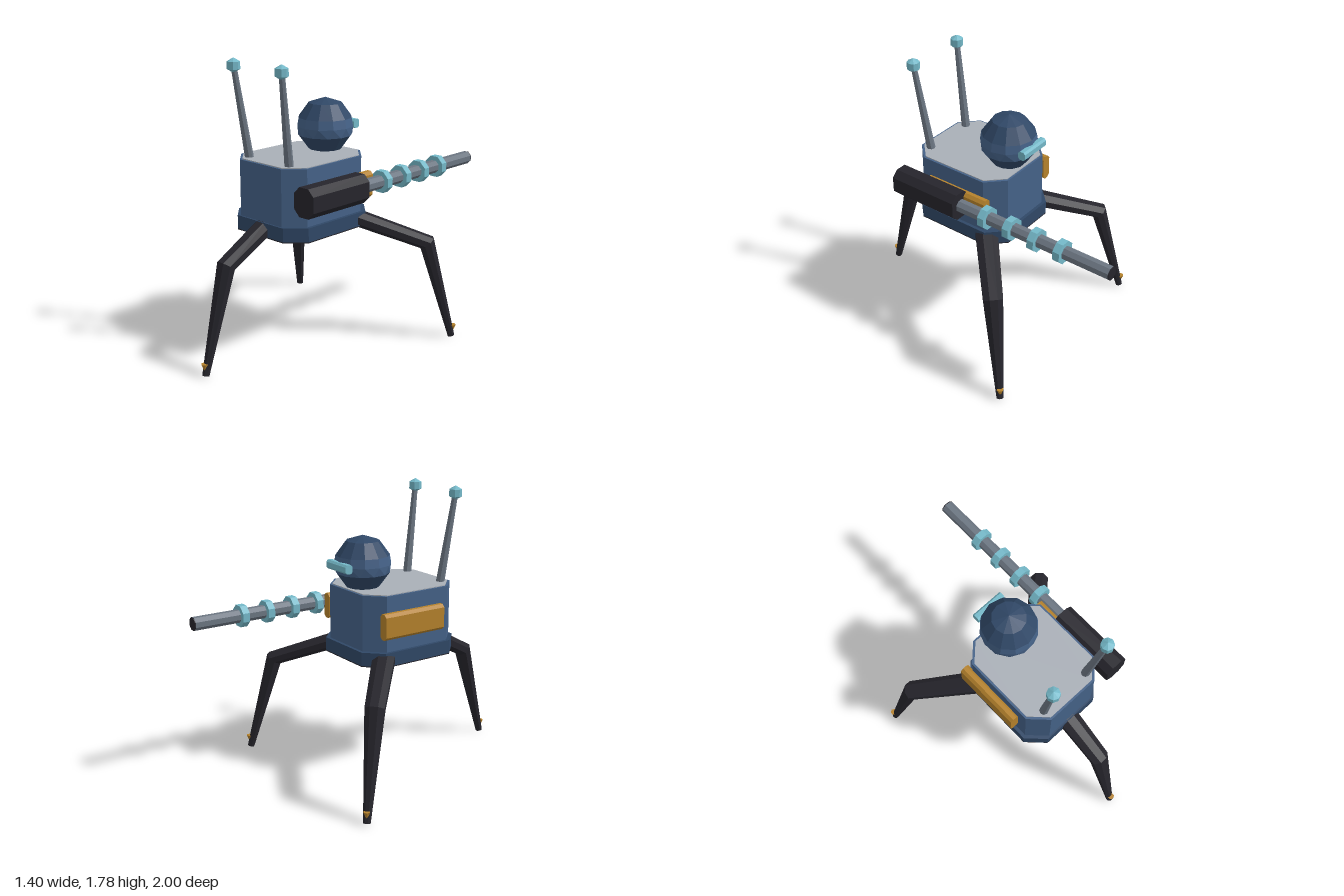
import * as THREE from 'three';

const mat = (name, color) => {
  const m = new THREE.MeshStandardMaterial({ color });
  m.name = name;
  return m;
};

// Faceted normals without touching the material
const flat = (geometry) => {
  const g = geometry.index ? geometry.toNonIndexed() : geometry;
  g.computeVertexNormals();
  return g;
};

// Box with four cut corners, running along z
function prism(w, h, depth, cut) {
  const x = w / 2, y = h / 2;
  const pts = [[x, y - cut], [x - cut, y], [cut - x, y], [-x, y - cut],
    [-x, cut - y], [cut - x, -y], [x - cut, -y], [x, cut - y]];
  const shape = new THREE.Shape(pts.map((p) => new THREE.Vector2(...p)));
  return new THREE.ExtrudeGeometry(shape, { depth, bevelEnabled: false }).translate(0, 0, -depth / 2);
}

// The same block standing upright between two heights
const slab = (w, d, y0, y1, cut) =>
  prism(w, d, y1 - y0, cut).rotateX(-Math.PI / 2).translate(0, (y0 + y1) / 2, 0);

// Eight-sided leg lofted through hip, knee and foot
function legGeometry(hip, knee, foot) {
  const out = new THREE.Vector3(foot.x - hip.x, 0, foot.z - hip.z).normalize();
  const side = new THREE.Vector3(0, 1, 0).cross(out);
  const stations = [ // centre, half width, outward and upward half thickness
    [hip, 0.068, 0.024, 0.042],
    [knee, 0.058, 0.04, 0.03],
    [foot, 0.021, 0.02, 0.005],
  ];
  const k = 1 / Math.cos(Math.PI / 8);
  const pos = [], index = [];
  for (const [c, w, o, u] of stations) {
    for (let i = 0; i < 8; i++) {
      const a = (i + 0.5) * Math.PI / 4;
      const p = c.clone().addScaledVector(side, w * k * Math.cos(a));
      p.addScaledVector(out, o * k * Math.sin(a));
      p.y += u * k * Math.sin(a);
      pos.push(p.x, p.y, p.z);
    }
  }
  for (let s = 0; s < 2; s++) {
    for (let i = 0; i < 8; i++) {
      const a = s * 8 + i, b = s * 8 + (i + 1) % 8;
      index.push(a, b, a + 8, b, b + 8, a + 8);
    }
  }
  for (let i = 1; i < 7; i++) {
    index.push(16, 16 + i, 17 + i); // foot end
    index.push(0, i + 1, i);        // hip end
  }
  const g = new THREE.BufferGeometry();
  g.setAttribute('position', new THREE.Float32BufferAttribute(pos, 3));
  g.setIndex(index);
  return flat(g);
}

export function createModel() {
  const model = new THREE.Group();
  model.name = 'threeLeggedWalker';
  const blue = mat('steel blue', 0x456288);
  const navy = mat('dark blue', 0x304867);
  const dark = mat('charcoal', 0x26252c);
  const grey = mat('gunmetal', 0x6c7682);
  const pale = mat('light grey', 0xa9afb7);
  const gold = mat('ochre', 0xb5822c);
  const cyan = mat('pale cyan', 0x75b9c9);

  const add = (name, geometry, material, x = 0, y = 0, z = 0, parent = model) => {
    const mesh = new THREE.Mesh(geometry, material);
    mesh.name = name;
    mesh.position.set(x, y, z);
    parent.add(mesh);
    return mesh;
  };

  // Hull
  add('hull', slab(0.56, 0.67, 0.83, 1.185, 0.105), blue, 0, 0, 0.185);
  add('deck', slab(0.535, 0.645, 1.18, 1.19, 0.1), pale, 0, 0, 0.185);
  add('skirt', slab(0.6, 0.7, 0.756, 0.84, 0.105), navy, 0, 0, 0.18);
  add('underside', slab(0.6, 0.7, 0.75, 0.756, 0.105), dark, 0, 0, 0.18);

  // Faceted head with a twisted middle band
  const head = new THREE.Group();
  head.name = 'head';
  head.position.set(0, 1.335, -0.025);
  model.add(head);
  const R = 0.175, step = Math.PI / 5, twist = -0.2;
  const band = (start, rows) => new THREE.SphereGeometry(R, 12, rows, 0, Math.PI * 2, start * step, rows * step);
  const middle = band(2, 1);
  const p = middle.attributes.position, v = new THREE.Vector3();
  for (let i = 0; i < p.count; i++) {
    v.fromBufferAttribute(p, i);
    if (v.y < 0) v.applyAxisAngle(new THREE.Vector3(0, 1, 0), twist);
    p.setXYZ(i, v.x, v.y, v.z);
  }
  add('headCrown', flat(band(0, 2)), navy, 0, 0, 0, head);
  add('headBand', flat(middle), blue, 0, 0, 0, head);
  add('headBase', flat(band(3, 2).rotateY(twist)), navy, 0, 0, 0, head);
  add('visor', prism(0.05, 0.055, 0.21, 0.012).rotateY(Math.PI / 2), cyan, 0, 0, -0.17, head);

  for (const s of [1, -1]) {
    // Side panels
    add('sidePanel', prism(0.06, 0.16, 0.44, 0.018), gold, s * 0.305, 1.01, 0.13);

    // Antennas
    const base = new THREE.Vector3(s * 0.168, 1.17, 0.447);
    const tip = new THREE.Vector3(s * 0.2, 1.74, 0.53);
    const dir = tip.clone().sub(base);
    const mast = add('antennaMast', flat(new THREE.CylinderGeometry(0.017, 0.027, dir.length(), 8)), grey);
    mast.position.copy(base).addScaledVector(dir, 0.5);
    mast.quaternion.setFromUnitVectors(new THREE.Vector3(0, 1, 0), dir.normalize());
    add('antennaTip', flat(new THREE.SphereGeometry(0.045, 8, 3)), cyan, tip.x, tip.y, tip.z);
  }

  // Cannon on the left side, pointing backward
  const gx = 0.365, gy = 1.025;
  const rod = (r, length) => flat(new THREE.CylinderGeometry(r, r, length, 8).rotateY(Math.PI / 8).rotateX(Math.PI / 2));
  add('cannonHousing', prism(0.15, 0.175, 0.47, 0.04), dark, gx, gy, 0.295);
  add('cannonBarrel', rod(0.042, 1.095), grey, gx, gy, -0.4475);
  add('cannonMuzzle', rod(0.042, 0.005), dark, gx, gy, -0.9975);
  for (const z of [-0.14, -0.318, -0.495, -0.672]) add('cannonRing', rod(0.071, 0.045), cyan, gx, gy, z);

  // Legs with small claws
  const V = (x, y, z) => new THREE.Vector3(x, y, z);
  const legs = [[V(0, 0.825, 0.45), V(0, 0.635, 0.797), V(0, 0.008, 0.972)]];
  for (const s of [1, -1]) {
    legs.push([V(s * 0.235, 0.8, -0.03), V(s * 0.567, 0.635, -0.338), V(s * 0.678, 0.008, -0.472)]);
  }
  for (const [hip, knee, foot] of legs) {
    add('leg', legGeometry(hip, knee, foot), dark);
    const out = V(foot.x - hip.x, 0, foot.z - hip.z).normalize();
    const claw = foot.clone().addScaledVector(out, 0.006);
    add('claw', flat(new THREE.ConeGeometry(0.022, 0.055, 6).rotateX(Math.PI)), gold, claw.x, 0.055, claw.z);
  }
  return model;
}
